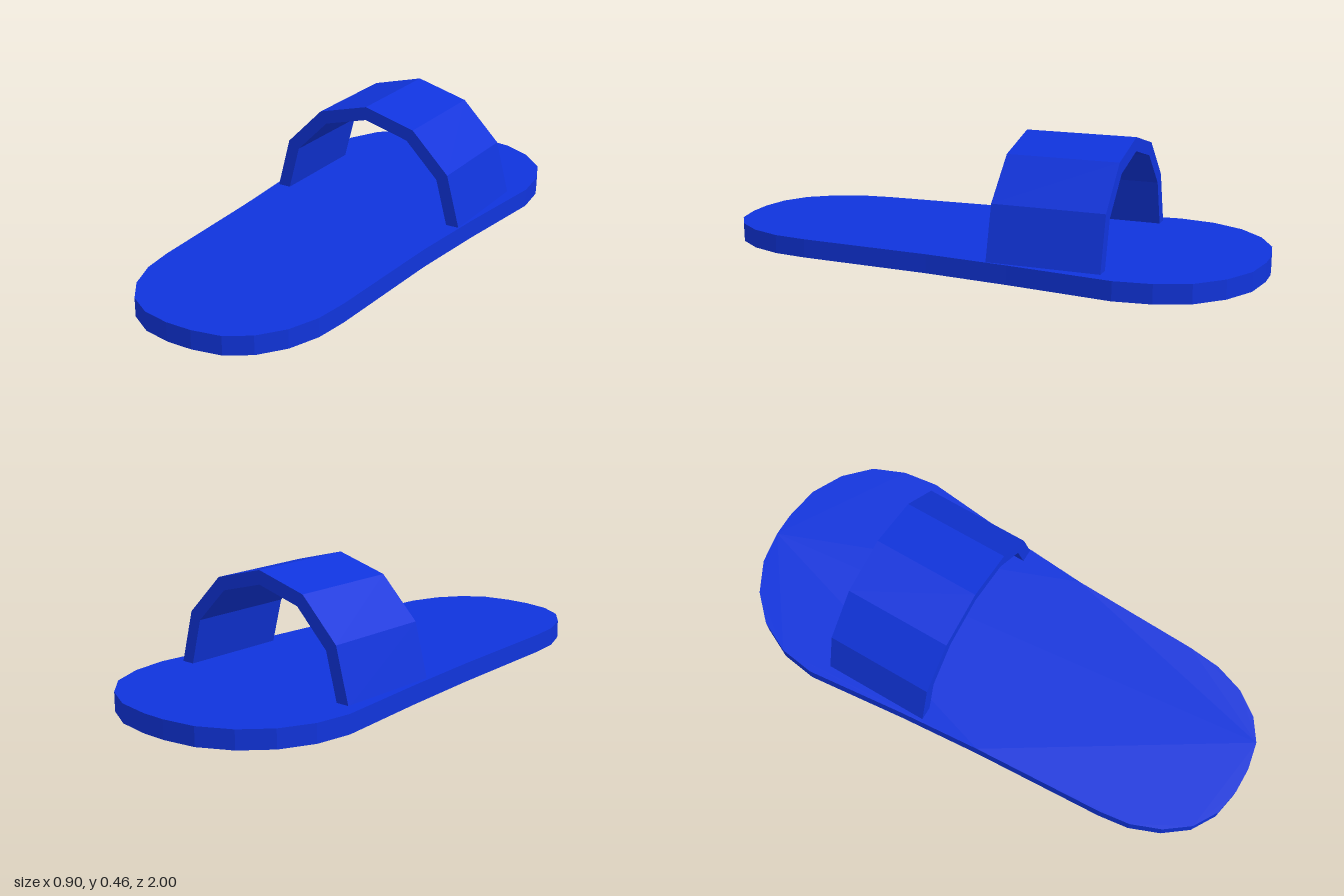
import * as THREE from 'three';

const material = new THREE.MeshStandardMaterial({ color: 0x1034dc, flatShading: true });

// Sole outline as [x, z], from toe to heel
const rightEdge = [[0.045, -1], [0.175, -0.98], [0.291, -0.92], [0.382, -0.83], [0.431, -0.712], [0.448, -0.58],
  [0.405, -0.2], [0.378, 0.11], [0.358, 0.6], [0.344, 0.725], [0.304, 0.836], [0.238, 0.925], [0.155, 0.98], [0.05, 1]];
const leftEdge = [[-0.045, -1], [-0.167, -0.98], [-0.283, -0.92], [-0.373, -0.83], [-0.431, -0.712], [-0.45, -0.58],
  [-0.412, -0.2], [-0.388, 0.11], [-0.362, 0.61], [-0.347, 0.725], [-0.304, 0.836], [-0.237, 0.925], [-0.146, 0.98], [-0.045, 1]];

const SOLE_HEIGHT = 0.068;

function extrude(points, depth) {
  const shape = new THREE.Shape(points.map(([x, y]) => new THREE.Vector2(x, y)));
  return new THREE.ExtrudeGeometry(shape, { depth, bevelEnabled: false });
}

// Half of a twelve-sided ring, standing on its ends
function arc(radius) {
  return Array.from({ length: 7 }, (_, i) => {
    const a = (i * Math.PI) / 6;
    return [radius * Math.cos(a), 0.062 + radius * Math.sin(a)];
  });
}

export function createModel() {
  const model = new THREE.Group();
  model.name = 'slipper';

  // Flat sole
  const outline = [...rightEdge, ...leftEdge.slice().reverse()].map(([x, z]) => [x, -z]);
  const sole = new THREE.Mesh(extrude(outline, SOLE_HEIGHT).rotateX(-Math.PI / 2), material);
  sole.name = 'sole';

  // Arched strap over the foot
  const band = [...arc(0.395), ...arc(0.345).reverse()];
  const strap = new THREE.Mesh(extrude(band, 0.405).translate(0, 0, -0.525), material);
  strap.name = 'strap';

  model.add(sole, strap);
  return model;
}
